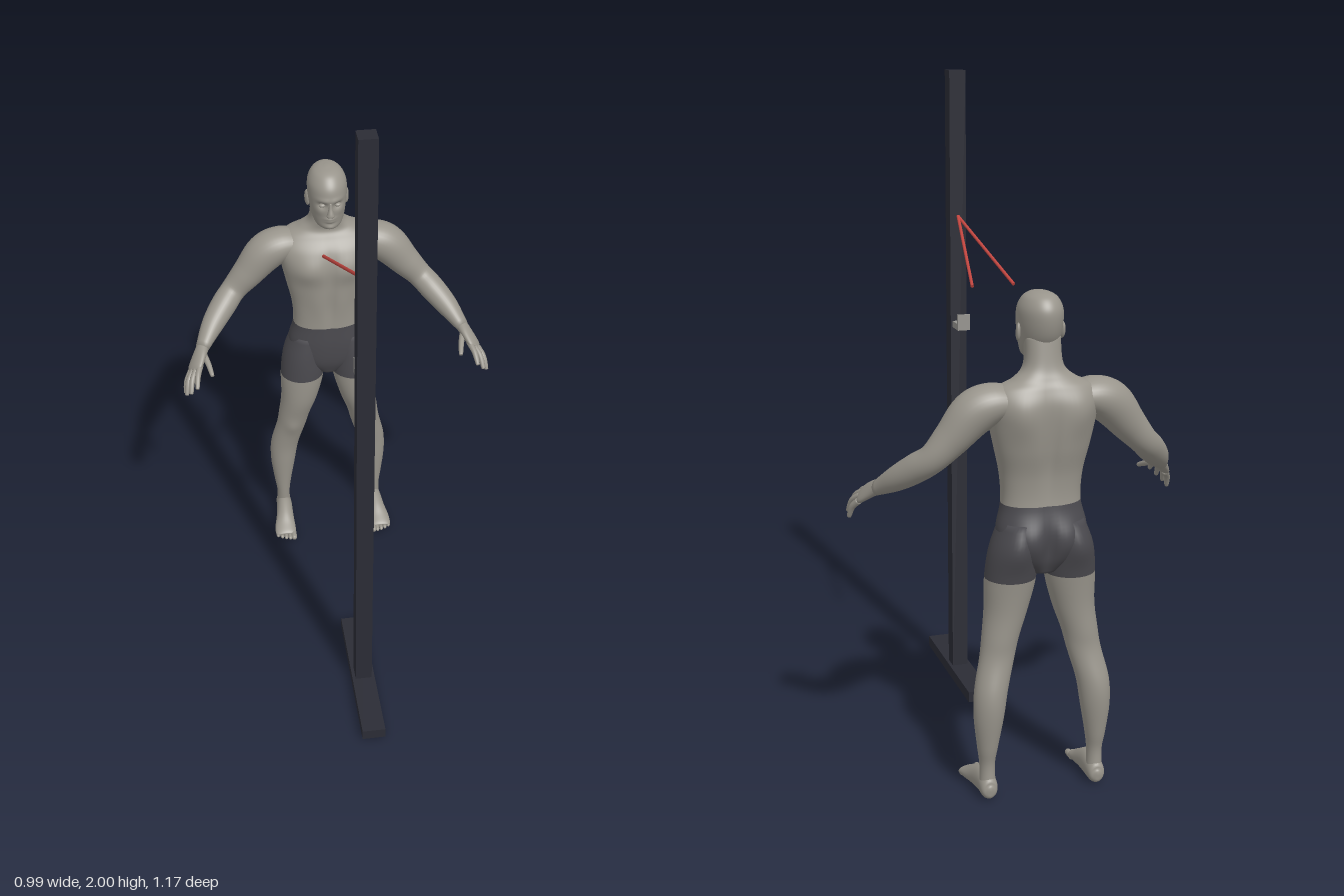
import * as THREE from 'three';
import { mergeGeometries } from 'three/addons/utils/BufferGeometryUtils.js';

const mat = (name, color) => Object.assign(new THREE.MeshStandardMaterial({ color }), { name });
const V = (x, y, z) => new THREE.Vector3(x, y, z);
const X = V(1, 0, 0), Y = V(0, 1, 0);

// Smooth skin through sections [x, y, z, a, b]; a lies along ref, b across it.
function loft(sections, { ref = X, axis = null, from = 0, to = 1, seg = 32, steps = 5, n = 2 } = {}) {
  const centre = new THREE.CatmullRomCurve3(sections.map(s => V(s[0], s[1], s[2])), false, 'catmullrom');
  const radii = new THREE.CatmullRomCurve3(sections.map(s => V(s[3], s[4], 0)), false, 'catmullrom');
  const rings = Math.max(2, Math.round((sections.length - 1) * steps * (to - from)));
  const pos = [], idx = [];
  const power = v => Math.sign(v) * Math.abs(v) ** (2 / n);
  for (let i = 0; i <= rings; i++) {
    const t = from + (to - from) * i / rings;
    const c = centre.getPoint(t), r = radii.getPoint(t);
    const T = axis || centre.getTangent(t);
    const side = ref.clone().addScaledVector(T, -ref.dot(T)).normalize();
    const other = side.clone().cross(T);
    for (let j = 0; j < seg; j++) {
      const q = j / seg * Math.PI * 2;
      const p = c.clone().addScaledVector(side, r.x * power(Math.cos(q))).addScaledVector(other, r.y * power(Math.sin(q)));
      pos.push(p.x, p.y, p.z);
      if (i < rings) {
        const a = i * seg + j, b = i * seg + (j + 1) % seg;
        idx.push(a, a + seg, b, b, a + seg, b + seg);
      }
    }
  }
  // End caps, only where the whole loft ends
  const cap = (t, ring, flip) => {
    const c = centre.getPoint(t), k = pos.length / 3;
    pos.push(c.x, c.y, c.z);
    for (let j = 0; j < seg; j++) {
      const a = ring * seg + j, b = ring * seg + (j + 1) % seg;
      idx.push(k, flip ? b : a, flip ? a : b);
    }
  };
  if (from === 0) cap(0, 0, false);
  if (to === 1) cap(1, rings, true);
  const g = new THREE.BufferGeometry();
  g.setAttribute('position', new THREE.Float32BufferAttribute(pos, 3));
  g.setIndex(idx);
  g.computeVertexNormals();
  return g;
}

// Push soft bumps [x, y, z, rx, ry, dz] in or out, on both sides of the body
function sculpt(g, bumps) {
  const p = g.attributes.position;
  for (let i = 0; i < p.count; i++) {
    let d = 0;
    for (const [x, y, z, rx, ry, dz] of bumps) {
      const u = (Math.abs(p.getX(i)) - x) / rx, v = (p.getY(i) - y) / ry, w = (p.getZ(i) - z) / 0.05;
      d += dz * Math.exp(-u * u - v * v - w * w);
    }
    p.setZ(i, p.getZ(i) + d);
  }
  g.computeVertexNormals();
  return g;
}

function mirrored(g) {
  const m = g.clone().scale(-1, 1, 1), a = m.index.array;
  for (let i = 0; i < a.length; i += 3) [a[i], a[i + 1]] = [a[i + 1], a[i]];
  m.computeVertexNormals();
  return m;
}

export function createModel() {
  const skin = mat('skin', 0x99958c), cloth = mat('shorts', 0x4b4a4f), frame = mat('frame', 0x2b2c35);
  const red = mat('band', 0xc0453f), metal = mat('hook', 0x96948f);
  const model = new THREE.Group();
  model.name = 'athleteAndStand';
  const add = (name, g, m, parent = model) => {
    const mesh = new THREE.Mesh(g, m);
    mesh.name = name;
    parent.add(mesh);
    return mesh;
  };
  const box = (name, w, h, d, x, y, z, m) => add(name, new THREE.BoxGeometry(w, h, d).translate(x, y, z), m);
  const pair = (name, g, m) => {
    add('left' + name, g, m);
    add('right' + name, mirrored(g), m);
  };

  // Stand: base, post and hook
  box('base', 0.072, 0.035, 0.485, 0, 0.0175, 0.34, frame);
  box('post', 0.052, 2, 0.05, 0, 1, 0.341, frame);
  box('hookArm', 0.04, 0.02, 0.062, 0, 1.21, 0.286, metal);
  box('hookLip', 0.04, 0.05, 0.009, 0, 1.225, 0.2595, metal);

  // Elastic bands
  for (const s of [-1, 1]) {
    const a = V(0, 1.553, 0.317), b = V(0.064 * s, 1.396, -0.046);
    const band = add(s > 0 ? 'leftBand' : 'rightBand', new THREE.CylinderGeometry(0.005, 0.005, a.distanceTo(b), 10), red);
    band.position.copy(a).lerp(b, 0.5);
    band.quaternion.setFromUnitVectors(Y, b.clone().sub(a).normalize());
  }

  // Torso and neck, split at the waistband
  const torso = [
    [0, 0.67, -0.485, 0.04, 0.05], [0, 0.72, -0.488, 0.11, 0.072], [0, 0.79, -0.488, 0.13, 0.08],
    [0, 0.87, -0.48, 0.114, 0.073], [0, 0.95, -0.48, 0.118, 0.075], [0, 1.03, -0.485, 0.135, 0.087],
    [0, 1.10, -0.487, 0.15, 0.093], [0, 1.16, -0.495, 0.16, 0.085], [0, 1.20, -0.503, 0.138, 0.064],
    [0, 1.225, -0.503, 0.088, 0.05], [0, 1.26, -0.493, 0.055, 0.046], [0, 1.34, -0.48, 0.05, 0.045]];
  const muscles = [
    [0.07, 1.105, -0.40, 0.05, 0.045, 0.012], [0, 1.10, -0.395, 0.014, 0.08, -0.008],
    [0, 0.95, -0.405, 0.012, 0.09, -0.005], [0.04, 0.97, -0.405, 0.025, 0.06, 0.004],
    [0, 1.03, -0.575, 0.02, 0.15, 0.014], [0.085, 1.13, -0.57, 0.045, 0.06, -0.012],
    [0.06, 0.765, -0.565, 0.045, 0.05, -0.014], [0, 0.75, -0.565, 0.014, 0.06, 0.016]];
  const body = { axis: Y, n: 2.3, seg: 64, steps: 7 };
  add('torso', sculpt(loft(torso, { ...body, from: 3 / 11 }), muscles), skin);
  add('shortsSeat', sculpt(loft(torso, { ...body, to: 3 / 11 }), muscles), cloth);

  // Legs, split at the hem
  const leg = [
    [0.163, 0.03, -0.51, 0.024, 0.026], [0.163, 0.1, -0.505, 0.022, 0.026], [0.163, 0.16, -0.509, 0.03, 0.034],
    [0.16, 0.25, -0.512, 0.043, 0.044], [0.152, 0.33, -0.508, 0.048, 0.046], [0.13, 0.42, -0.492, 0.05, 0.047],
    [0.118, 0.48, -0.485, 0.053, 0.054], [0.1, 0.56, -0.478, 0.062, 0.064], [0.088, 0.655, -0.481, 0.073, 0.073],
    [0.083, 0.74, -0.489, 0.066, 0.08], [0.07, 0.82, -0.488, 0.05, 0.07]];
  const legMuscles = [
    [0.13, 0.435, -0.445, 0.025, 0.03, 0.006], [0.16, 0.31, -0.555, 0.04, 0.06, -0.004],
    [0.085, 0.755, -0.565, 0.045, 0.05, -0.01]];
  pair('Leg', sculpt(loft(leg, { axis: Y, seg: 40, to: 0.8 }), legMuscles), skin);
  pair('ShortsLeg', sculpt(loft(leg, { axis: Y, seg: 40, from: 0.8 }), legMuscles), cloth);

  // Feet with toes
  const foot = [loft([
    [0.163, 0.03, -0.543, 0.008, 0.012], [0.163, 0.031, -0.53, 0.024, 0.03], [0.163, 0.04, -0.49, 0.027, 0.04],
    [0.166, 0.034, -0.44, 0.03, 0.034], [0.17, 0.022, -0.395, 0.036, 0.022], [0.171, 0.015, -0.367, 0.036, 0.015],
    [0.171, 0.012, -0.357, 0.03, 0.01]])];
  for (let i = 0; i < 5; i++) {
    const x = 0.144 + 0.0138 * i, tip = -0.334 - 0.0012 * i * i, r = i ? 0.0068 : 0.01;
    foot.push(loft([[x, 0.013, -0.38, r, r], [x, 0.012, tip - 0.014, r, r], [x, 0.01, tip - 0.004, r * 0.8, r * 0.8],
      [x, 0.009, tip, r * 0.2, r * 0.2]], { seg: 12, steps: 4 }));
  }
  pair('Foot', mergeGeometries(foot), skin);

  // Arms, from inside the shoulder to the wrist
  pair('Arm', loft([
    [0.09, 1.165, -0.502, 0.04, 0.055], [0.15, 1.16, -0.497, 0.056, 0.064], [0.2, 1.133, -0.492, 0.062, 0.062],
    [0.255, 1.07, -0.485, 0.051, 0.051], [0.305, 1.015, -0.475, 0.041, 0.041], [0.343, 0.98, -0.44, 0.041, 0.042],
    [0.385, 0.94, -0.39, 0.035, 0.037], [0.425, 0.898, -0.325, 0.02, 0.026]], { ref: V(1, 1, 0).normalize(), steps: 6 }), skin);

  // Hands: palm, four fingers and a thumb
  const across = V(0.6, -0.6, -0.4).normalize();
  const hand = [loft([
    [0.418, 0.905, -0.336, 0.022, 0.018], [0.425, 0.898, -0.323, 0.024, 0.019], [0.437, 0.885, -0.298, 0.031, 0.017],
    [0.452, 0.866, -0.27, 0.034, 0.014], [0.458, 0.858, -0.257, 0.027, 0.009]], { ref: across })];
  const digits = [
    [[0.436, 0.877, -0.265], [0.447, 0.862, -0.225], [0.452, 0.838, -0.194]],
    [[0.448, 0.868, -0.26], [0.465, 0.85, -0.225], [0.472, 0.818, -0.198]],
    [[0.459, 0.859, -0.264], [0.478, 0.838, -0.234], [0.486, 0.803, -0.213]],
    [[0.467, 0.848, -0.273], [0.483, 0.824, -0.253], [0.489, 0.793, -0.238]],
    [[0.422, 0.889, -0.302], [0.41, 0.876, -0.263], [0.402, 0.861, -0.225]]];
  for (const [a, b, c] of digits) {
    const end = c.map((v, i) => v + (v - b[i]) * 0.08);
    hand.push(loft([[...a, 0.0105, 0.0105], [...b, 0.009, 0.009], [...c, 0.0065, 0.0065], [...end, 0.002, 0.002]],
      { ref: across, seg: 12 }));
  }
  pair('Hand', mergeGeometries(hand), skin);

  // Head with eye sockets, brow, cheeks, lips and chin
  add('head', sculpt(loft([
    [0, 1.262, -0.43, 0.02, 0.03], [0, 1.275, -0.434, 0.04, 0.049], [0, 1.30, -0.445, 0.051, 0.065],
    [0, 1.335, -0.455, 0.058, 0.079], [0, 1.375, -0.46, 0.062, 0.086], [0, 1.41, -0.463, 0.06, 0.083],
    [0, 1.437, -0.465, 0.047, 0.065], [0, 1.45, -0.465, 0.028, 0.042], [0, 1.455, -0.465, 0.006, 0.01]],
  { axis: Y, seg: 80, steps: 8 }), [
    [0.024, 1.358, -0.382, 0.013, 0.01, -0.011], [0.02, 1.376, -0.376, 0.022, 0.008, 0.004],
    [0, 1.311, -0.378, 0.016, 0.005, 0.006], [0, 1.301, -0.38, 0.014, 0.004, 0.006],
    [0, 1.279, -0.385, 0.018, 0.01, 0.006], [0.036, 1.335, -0.39, 0.014, 0.014, 0.003]]), skin);
  add('nose', loft([
    [0, 1.319, -0.377, 0.008, 0.006], [0, 1.325, -0.373, 0.013, 0.012], [0, 1.334, -0.373, 0.01, 0.012],
    [0, 1.352, -0.377, 0.006, 0.009], [0, 1.37, -0.378, 0.005, 0.005]], { axis: Y, seg: 20 }), skin);
  const ball = (r, sx, sy, sz, x, y, z) => new THREE.SphereGeometry(r, 20, 14).scale(sx, sy, sz).translate(x, y, z);
  pair('Eye', ball(0.009, 1.2, 0.7, 1, 0.024, 1.358, -0.388), skin);
  pair('Ear', ball(0.026, 0.28, 1, 0.6, 0, 0, 0).rotateY(-0.3).rotateX(-0.15).translate(0.062, 1.345, -0.465), skin);
  return model;
}
